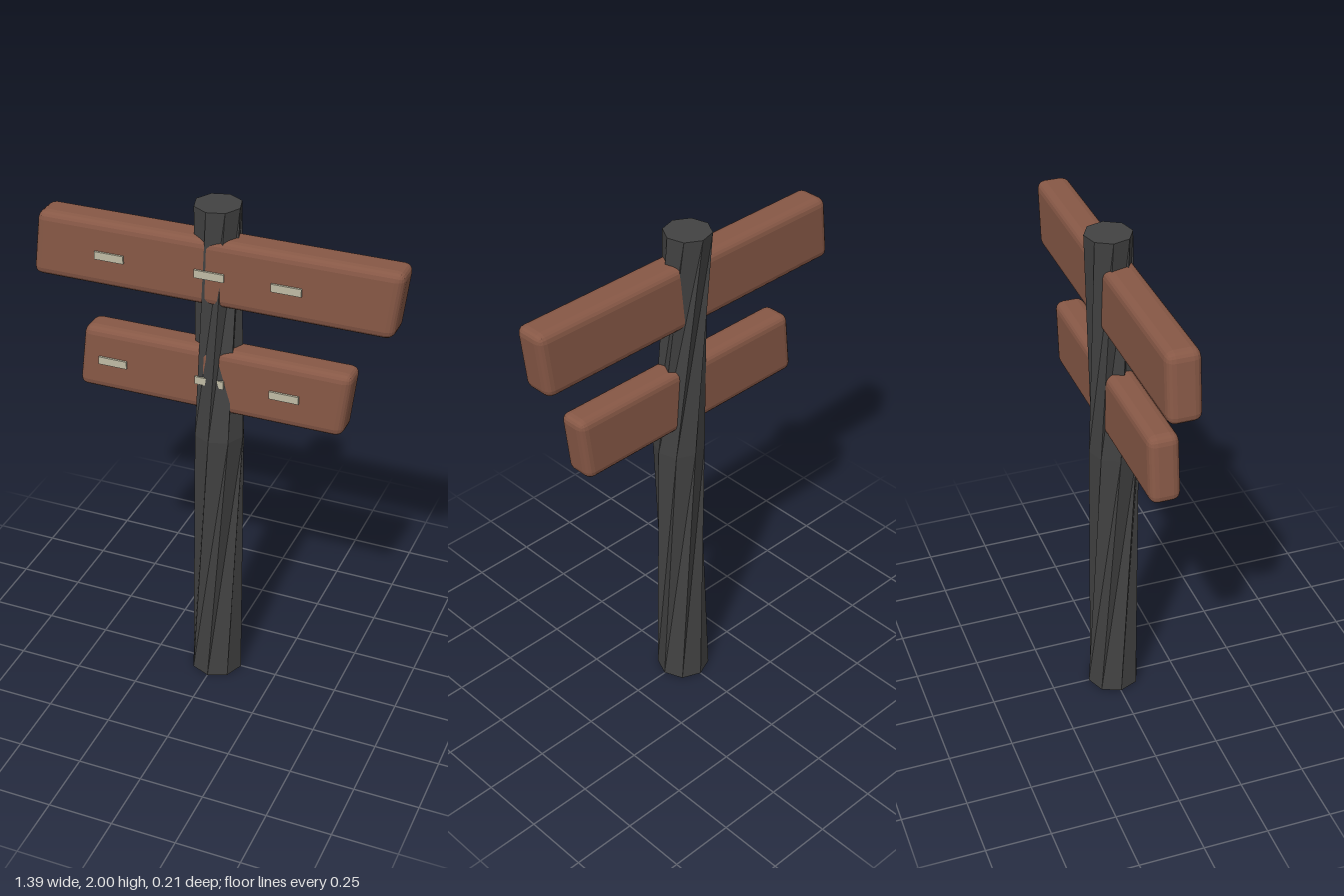
import * as THREE from 'three';
import { RoundedBoxGeometry } from 'three/addons/geometries/RoundedBoxGeometry.js';

const flat = (name, color) => new THREE.MeshStandardMaterial({ name, color, flatShading: true });

export function createModel() {
  const model = new THREE.Group();
  model.name = 'signpost';
  const postWood = flat('charcoal wood', 0x424242);
  const boardWood = flat('red brown wood', 0x875846);
  const nailMetal = flat('pale nail', 0xc0bca5);

  const add = (name, geometry, material, parent = model) => {
    const mesh = new THREE.Mesh(geometry, material);
    mesh.name = name;
    parent.add(mesh);
    return mesh;
  };

  // Twisted eight-sided post: each ring has its own size, offset and turn
  const rings = [
    { y: 0, r: 0.103, x: 0, z: 0.002, turn: 0 },
    { y: 1.1, r: 0.096, x: 0.013, z: 0.011, turn: 0.72 },
    { y: 2, r: 0.087, x: -0.004, z: -0.016, turn: 1.45 },
  ];
  const post = new THREE.CylinderGeometry(1, 1, 2, 8, 2);
  const p = post.attributes.position;
  for (let i = 0; i < p.count; i++) {
    const { y, r, x, z, turn } = rings[Math.round(p.getY(i)) + 1];
    const radius = r * Math.hypot(p.getX(i), p.getZ(i));
    const angle = Math.atan2(p.getX(i), p.getZ(i)) + turn;
    p.setXYZ(i, x + radius * Math.sin(angle), y, z + radius * Math.cos(angle));
  }
  post.computeVertexNormals();
  add('post', post, postWood);

  // Slanted boards, each with three nail plates on the front
  const addBoard = (name, y, length, depth, z) => {
    const group = new THREE.Group();
    group.name = name;
    group.position.set(0, y, z);
    group.rotation.y = 0.006;
    model.add(group);

    const geometry = new RoundedBoxGeometry(length, 0.256, depth, 2, 0.032);
    geometry.applyMatrix4(new THREE.Matrix4().makeShear(0, 0, 0.12, 0, 0, 0));
    geometry.computeVertexNormals();
    add('board', geometry, boardWood, group);

    for (const x of [-0.385, -0.003, 0.283]) {
      const nail = add('nailPlate', new THREE.BoxGeometry(0.112, 0.03, 0.008), nailMetal, group);
      nail.position.set(x, -0.002, depth / 2 + 0.004);
    }
  };
  addBoard('upperBoard', 1.765, 1.365, 0.126, 0.006);
  addBoard('lowerBoard', 1.337, 1.032, 0.116, 0.01);

  // Shear may have put x and y the wrong way round on level boards, so keep them level
  model.updateMatrixWorld(true);
  return model;
}
